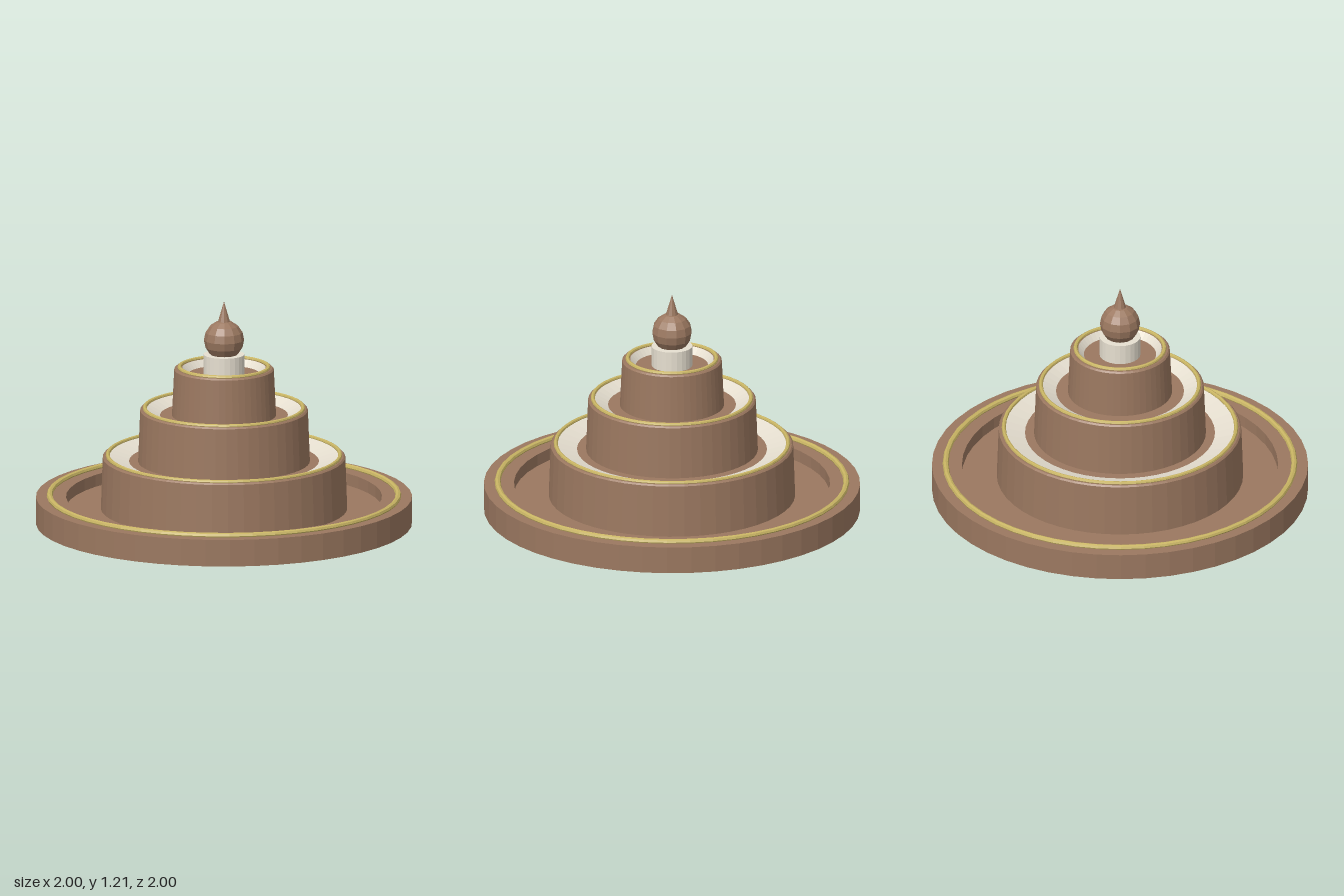
import * as THREE from 'three';

const SEG = 48;
const mat = (name, color) => {
  const m = new THREE.MeshStandardMaterial({ color, flatShading: true });
  m.name = name;
  return m;
};

export function createModel() {
  const model = new THREE.Group();
  model.name = 'tieredFountain';
  const brown = mat('warmBrown', 0x9b7860);
  const cream = mat('creamStone', 0xe6dfd0);
  const gold = mat('paleGold', 0xc8b463);

  const add = (name, geometry, material, y = 0, parent = model) => {
    const mesh = new THREE.Mesh(geometry, material);
    mesh.name = name;
    mesh.position.y = y;
    parent.add(mesh);
    return mesh;
  };
  // profile runs from the underside, up the outside and in over the top
  const lathe = (pts) =>
    new THREE.LatheGeometry(pts.map(([r, y]) => new THREE.Vector2(r, y)), SEG);
  const ring = (radius, tube) =>
    new THREE.TorusGeometry(radius, tube, 8, SEG).rotateX(Math.PI / 2);

  // wide base basin with sunken floor
  add('baseBasin', lathe([
    [0, 0], [1, 0], [1, 0.145], [0.84, 0.145], [0.84, 0.08], [0, 0.08],
  ]), brown);
  add('baseTrim', ring(0.927, 0.016), gold, 0.151);

  // stacked bowls: tapered wall, gold rim, sloping cream lining, brown floor
  const tiers = [
    { bottom: 0.08, top: 0.368, r0: 0.655, r1: 0.645, trim: 0.618, lip: 0.61, floor: 0.505, depth: 0.03 },
    { bottom: 0.33, top: 0.625, r0: 0.457, r1: 0.446, trim: 0.421, lip: 0.41, floor: 0.34, depth: 0.035 },
    { bottom: 0.585, top: 0.848, r0: 0.277, r1: 0.265, trim: 0.236, lip: 0.222, floor: 0.192, depth: 0.035 },
  ];
  tiers.forEach((t, i) => {
    const tier = new THREE.Group();
    tier.name = `tier${i + 1}`;
    model.add(tier);
    const floorY = t.top - t.depth;
    add('tierWall', lathe([
      [t.r0, t.bottom], [t.r1, t.top - 0.008], [t.r1 - 0.008, t.top], [t.lip, t.top],
    ]), brown, 0, tier);
    add('rimTrim', ring(t.trim, 0.011), gold, t.top + 0.003, tier);
    add('bowlLining', lathe([[t.lip, t.top], [t.floor, floorY]]), cream, 0, tier);
    add('bowlFloor', lathe([[t.floor, floorY], [0, floorY]]), brown, 0, tier);
  });

  // finial: collar, faceted ball and spike
  add('finialCollar', new THREE.CylinderGeometry(0.109, 0.109, 0.112, 24), cream, 0.866);
  add('finialBall', new THREE.SphereGeometry(0.107, 12, 8), brown, 1.0);
  add('finialSpike', new THREE.ConeGeometry(0.036, 0.12, 10), brown, 1.15);

  return model;
}
